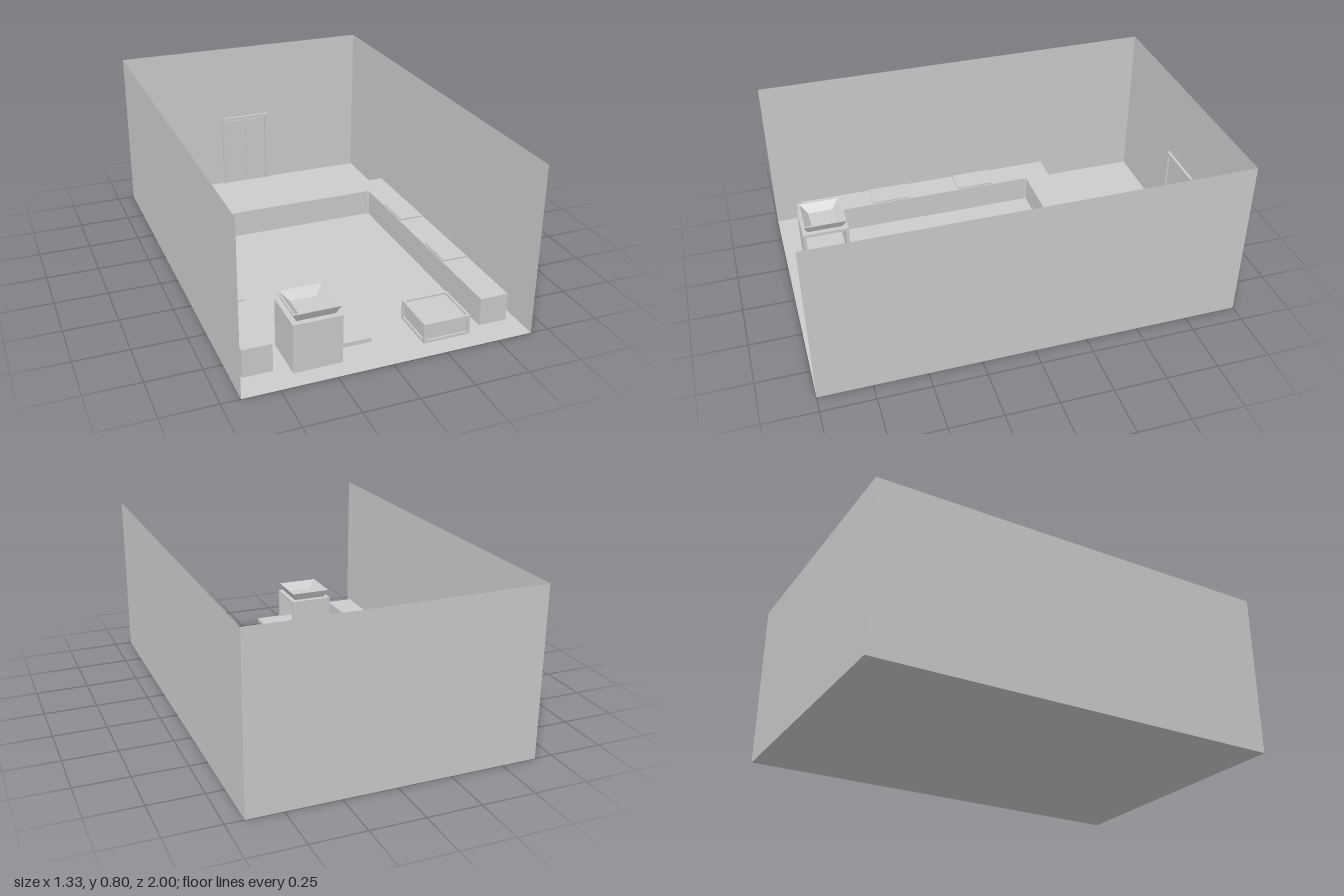
import * as THREE from 'three';

const grey = new THREE.MeshStandardMaterial({ color: 0xcccccc, side: THREE.DoubleSide });
grey.name = 'plainGrey';

function add(parent, name, geometry) {
  const mesh = new THREE.Mesh(geometry, grey);
  mesh.name = name;
  parent.add(mesh);
  return mesh;
}

// Box given by its lower and upper limits on each axis
function box(parent, name, x0, x1, y0, y1, z0, z1) {
  const mesh = add(parent, name, new THREE.BoxGeometry(x1 - x0, y1 - y0, z1 - z0));
  mesh.position.set((x0 + x1) / 2, (y0 + y1) / 2, (z0 + z1) / 2);
  return mesh;
}

function group(parent, name) {
  const g = new THREE.Group();
  g.name = name;
  parent.add(g);
  return g;
}

// Room shell of single sheets, open at the front and top
function buildRoom(parent) {
  const W = 0.665, H = 0.803;
  const room = group(parent, 'room');
  add(room, 'floor', new THREE.PlaneGeometry(2 * W, 2).rotateX(-Math.PI / 2));
  add(room, 'backWall', new THREE.PlaneGeometry(2 * W, H)).position.set(0, H / 2, -1);
  for (const s of [-1, 1]) {
    const wall = add(room, s < 0 ? 'rightWall' : 'leftWall',
      new THREE.PlaneGeometry(2, H).rotateY(-s * Math.PI / 2));
    wall.position.set(s * W, H / 2, 0);
  }
}

// U-shaped counter with thin plates on both arms
function buildCounter(parent) {
  const counter = group(parent, 'counter');
  const o = 0.618, i = 0.484, c = 0.006;
  const outline = [
    [-o, 0.865], [-o, -0.465], [o, -0.465], [o, 0.865], [i, 0.865],
    [i, -0.337 + c], [i - c, -0.337], [-i + c, -0.337], [-i, -0.337 + c], [-i, 0.865],
  ].map(([x, z]) => new THREE.Vector2(x, -z));
  const shape = new THREE.Shape(outline);
  const geometry = new THREE.ExtrudeGeometry(shape, { depth: 0.133, bevelEnabled: false });
  add(counter, 'counterBody', geometry.rotateX(-Math.PI / 2));
  for (const s of [-1, 1]) {
    for (const z of [-0.05, 0.41]) {
      const plate = add(counter, 'counterPlate', new THREE.BoxGeometry(0.122, 0.008, 0.19));
      plate.position.set(s * 0.551, 0.137, z);
    }
  }
}

// Double door with a raised frame
function buildDoor(parent) {
  const door = group(parent, 'door');
  const z0 = -0.999, z1 = -0.985;
  for (const s of [-1, 1]) {
    const x = s * 0.125;
    box(door, 'doorPost', x - 0.008, x + 0.008, 0, 0.4, z0, z1);
    const m = s * 0.058;
    box(door, 'doorLeaf', m - 0.054, m + 0.054, 0, 0.378, z0, -0.993);
  }
  box(door, 'doorLintel', -0.117, 0.117, 0.385, 0.4, z0, z1);
}

// Square ring of four faces between two levels
function taperedRing(lower, yLower, upper, yUpper) {
  const g = new THREE.CylinderGeometry(upper * Math.SQRT1_2, lower * Math.SQRT1_2,
    yUpper - yLower, 4, 1, true).rotateY(Math.PI / 4).toNonIndexed();
  g.translate(0, (yLower + yUpper) / 2, 0);
  g.computeVertexNormals();
  return g;
}

// Oven with a side opening, a lowered hatch and a funnel on top
function buildOven(parent) {
  const oven = group(parent, 'oven');
  const x0 = -0.412, x1 = -0.19, z0 = 0.685, z1 = 0.91;
  box(oven, 'ovenBase', x0, x1, 0, 0.075, z0, z1);
  box(oven, 'ovenTop', x0, x1, 0.215, 0.23, z0, z1);
  box(oven, 'ovenBack', x0, x0 + 0.015, 0.075, 0.215, z0, z1);
  box(oven, 'ovenSide', x0 + 0.015, x1, 0.075, 0.215, z0, z0 + 0.015);
  box(oven, 'ovenSide', x0 + 0.015, x1, 0.075, 0.215, z1 - 0.015, z1);
  box(oven, 'ovenHatch', x1, -0.055, 0.06, 0.08, 0.7, 0.895);

  const funnel = group(oven, 'funnel');
  funnel.position.set((x0 + x1) / 2, 0, (z0 + z1) / 2);
  add(funnel, 'funnelOuter', taperedRing(0.172, 0.23, 0.213, 0.272));
  add(funnel, 'funnelInner', taperedRing(0.122, 0.236, 0.195, 0.272));
  add(funnel, 'funnelRim', taperedRing(0.213, 0.2718, 0.195, 0.272));
  add(funnel, 'funnelFloor', new THREE.PlaneGeometry(0.122, 0.122).rotateX(-Math.PI / 2))
    .position.y = 0.236;
}

// Low crate: recessed panels held by twelve edge beams
function buildCrate(parent) {
  const crate = group(parent, 'crate');
  const w = 0.222, h = 0.093, t = 0.012;
  crate.position.set(0.299, h / 2, 0.797);
  add(crate, 'cratePanels', new THREE.BoxGeometry(w - 0.018, h - 0.018, w - 0.018));
  const e = (w - t) / 2, k = (h - t) / 2;
  for (const a of [-1, 1]) {
    for (const b of [-1, 1]) {
      add(crate, 'cratePost', new THREE.BoxGeometry(t, h, t)).position.set(a * e, 0, b * e);
      add(crate, 'crateRail', new THREE.BoxGeometry(w - 2 * t, t, t)).position.set(0, a * k, b * e);
      add(crate, 'crateRail', new THREE.BoxGeometry(t, t, w - 2 * t)).position.set(b * e, a * k, 0);
    }
  }
}

export function createModel() {
  const model = new THREE.Group();
  model.name = 'kitchenRoom';
  buildRoom(model);
  buildCounter(model);
  buildDoor(model);
  buildOven(model);
  buildCrate(model);
  return model;
}
